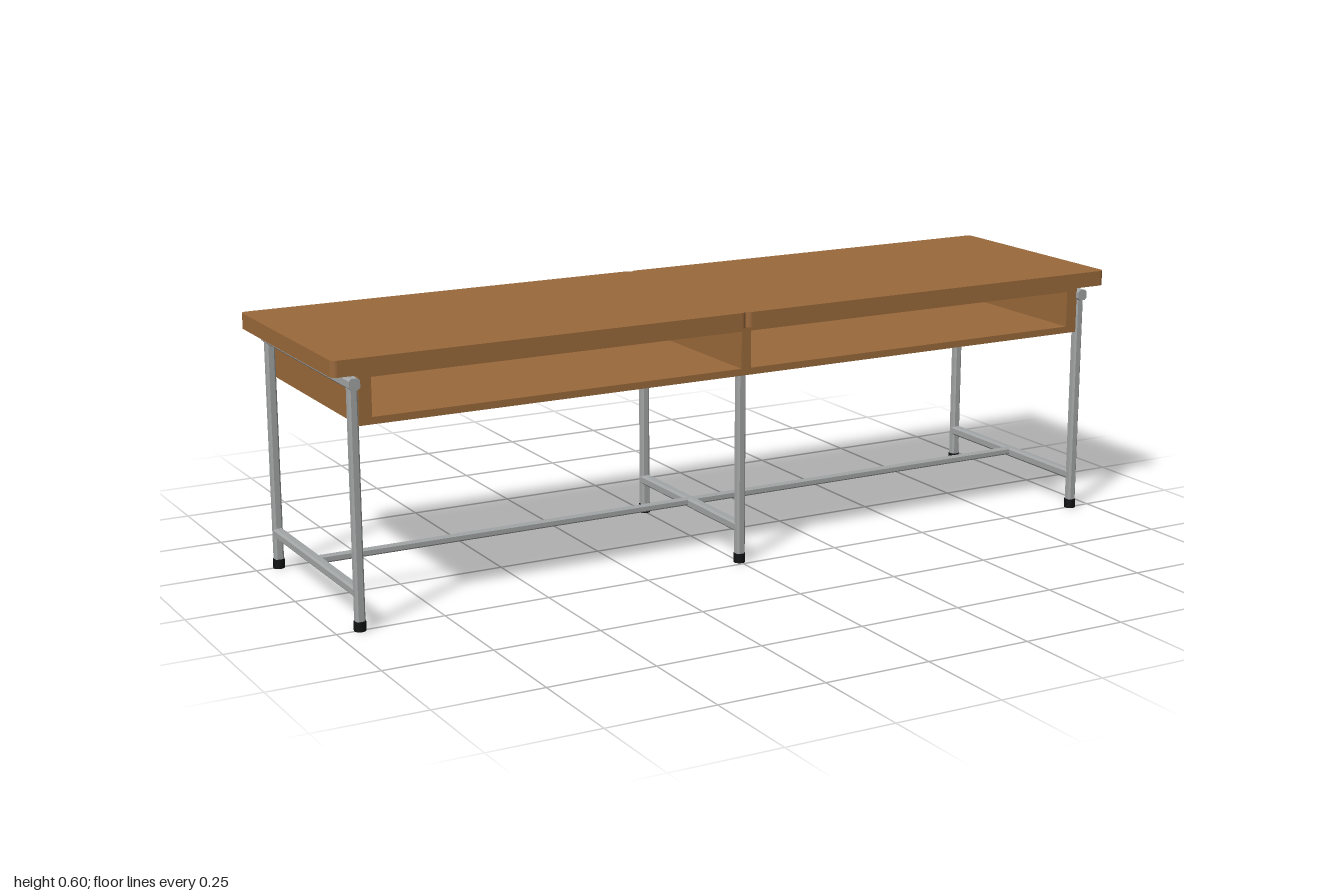
import * as THREE from 'three';

const wood = new THREE.MeshStandardMaterial({ color: 0x9a693b });
wood.name = 'wood';
const steel = new THREE.MeshStandardMaterial({ color: 0xa2a5a5, flatShading: true });
steel.name = 'steel';
const rubber = new THREE.MeshStandardMaterial({ color: 0x101112 });
rubber.name = 'rubber';

// Box given by its minimum and maximum corners
function board(name, min, max) {
  const size = max.map((v, i) => v - min[i]);
  const mesh = new THREE.Mesh(new THREE.BoxGeometry(...size), wood);
  mesh.position.set(...max.map((v, i) => (v + min[i]) / 2));
  mesh.name = name;
  return mesh;
}

// Eight-sided tube with chamfered edges between two points
function tube(name, from, to, r) {
  const c = r * 0.6;
  const section = new THREE.Shape([
    [r, -c], [r, c], [c, r], [-c, r], [-r, c], [-r, -c], [-c, -r], [c, -r],
  ].map(([x, y]) => new THREE.Vector2(x, y)));
  const a = new THREE.Vector3(...from);
  const b = new THREE.Vector3(...to);
  const geo = new THREE.ExtrudeGeometry(section, { depth: a.distanceTo(b), bevelEnabled: false });
  const mesh = new THREE.Mesh(geo, steel);
  mesh.position.copy(a);
  mesh.lookAt(b);
  mesh.name = name;
  return mesh;
}

// Table top half with rounded vertical corners
function topHalf(name, x0, x1) {
  const z = 0.28, r = 0.014;
  const s = new THREE.Shape();
  s.moveTo(x0 + r, -z);
  s.lineTo(x1 - r, -z);
  s.absarc(x1 - r, -z + r, r, -Math.PI / 2, 0);
  s.absarc(x1 - r, z - r, r, 0, Math.PI / 2);
  s.absarc(x0 + r, z - r, r, Math.PI / 2, Math.PI);
  s.absarc(x0 + r, -z + r, r, Math.PI, Math.PI * 1.5);
  const geo = new THREE.ExtrudeGeometry(s, { depth: 0.036, bevelEnabled: false, curveSegments: 5 });
  geo.rotateX(-Math.PI / 2);
  const mesh = new THREE.Mesh(geo, wood);
  mesh.position.y = 0.564;
  mesh.name = name;
  return mesh;
}

// Pair of legs with rubber feet and a low cross rail
function legFrame(name, x, z, height) {
  const frame = new THREE.Group();
  frame.name = name;
  for (const side of [-1, 1]) {
    frame.add(tube('leg', [x, 0.01, side * z], [x, height, side * z], 0.0105));
    const foot = new THREE.Mesh(new THREE.CylinderGeometry(0.0135, 0.0135, 0.022, 16), rubber);
    foot.position.set(x, 0.011, side * z);
    foot.name = 'foot';
    frame.add(foot);
  }
  frame.add(tube('crossRail', [x, 0.085, -z], [x, 0.085, z], 0.0115));
  return frame;
}

export function createModel() {
  const table = new THREE.Group();
  table.name = 'table';

  // Two-piece top
  table.add(topHalf('topRight', -1, -0.01), topHalf('topLeft', -0.01, 1));

  // Shelf case, open to the front with two compartments
  const shelf = new THREE.Group();
  shelf.name = 'shelfCase';
  shelf.add(
    board('shelfFloor', [-0.935, 0.45, -0.258], [0.935, 0.466, 0.258]),
    board('shelfCeiling', [-0.935, 0.552, -0.258], [0.935, 0.564, 0.258]),
    board('shelfBack', [-0.935, 0.466, -0.258], [0.935, 0.552, -0.24]),
    board('shelfDivider', [-0.012, 0.466, -0.24], [0.012, 0.552, 0.258]),
    board('shelfSideRight', [-0.935, 0.466, -0.24], [-0.906, 0.552, 0.258]),
    board('shelfSideLeft', [0.906, 0.466, -0.24], [0.935, 0.552, 0.258]),
  );
  table.add(shelf);

  // End frames with a top rail, and a middle frame under the shelf
  for (const side of [-1, 1]) {
    const x = side * 0.946;
    const frame = legFrame('endFrame', x, 0.249, 0.542);
    frame.add(tube('topRail', [x, 0.542, -0.267], [x, 0.542, 0.267], 0.0125));
    table.add(frame);
  }
  table.add(legFrame('middleFrame', 0, 0.232, 0.452));

  // Long stretcher joining the three frames
  table.add(tube('stretcher', [-0.946, 0.088, 0], [0.946, 0.088, 0], 0.0085));

  return table;
}
